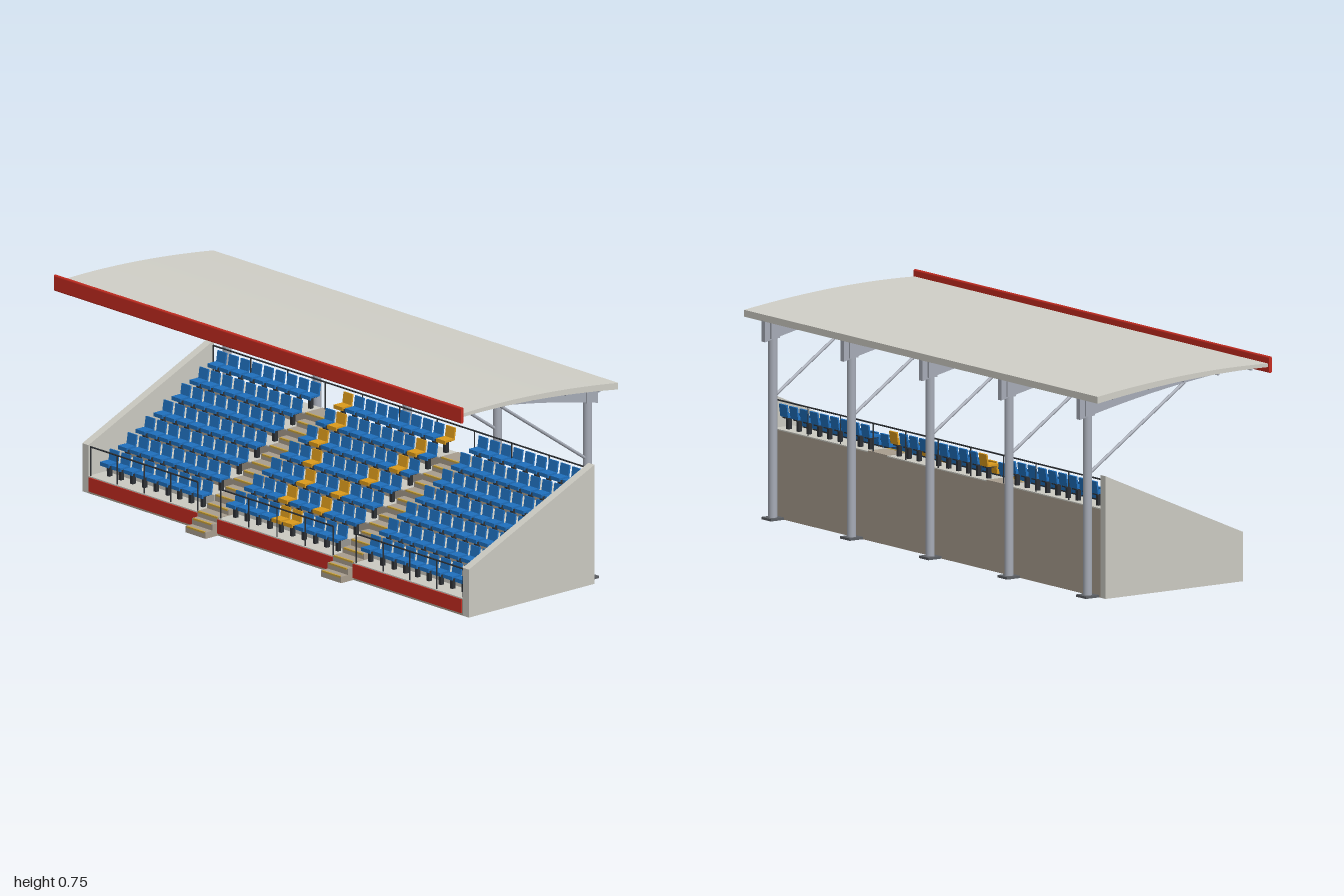
import * as THREE from 'three';
import { mergeGeometries } from 'three/addons/utils/BufferGeometryUtils.js';

const mat = (name, color) => {
  const m = new THREE.MeshStandardMaterial({ color });
  m.name = name;
  return m;
};

// Box given by its min and max along each axis
const box = (x0, x1, y0, y1, z0, z1) =>
  new THREE.BoxGeometry(x1 - x0, y1 - y0, z1 - z0).translate((x0 + x1) / 2, (y0 + y1) / 2, (z0 + z1) / 2);

// Round bar between two points
const bar = (a, b, r, sides = 8) => {
  const p = new THREE.Vector3(...a), q = new THREE.Vector3(...b), d = q.clone().sub(p);
  const turn = new THREE.Quaternion().setFromUnitVectors(new THREE.Vector3(0, 1, 0), d.clone().normalize());
  const mid = p.add(q).multiplyScalar(0.5);
  return new THREE.CylinderGeometry(r, r, d.length(), sides).applyQuaternion(turn).translate(mid.x, mid.y, mid.z);
};

// Extrude a [z, y] outline along x, between x0 and x1
const extrudeX = (outline, x0, x1) => {
  const shape = new THREE.Shape(outline.map(([z, y]) => new THREE.Vector2(-z, y)));
  return new THREE.ExtrudeGeometry(shape, { depth: x1 - x0, bevelEnabled: false })
    .rotateY(Math.PI / 2).translate(x0, 0, 0);
};

// Seat shell: flat pan with a front lip and a back leaning slightly rearwards
const seatShell = (x, y, z) => [
  box(x - 0.0215, x + 0.0215, y + 0.042, y + 0.049, z + 0.01, z + 0.052),
  box(x - 0.0215, x + 0.0215, y + 0.036, y + 0.049, z + 0.048, z + 0.053),
  new THREE.BoxGeometry(0.043, 0.042, 0.006).rotateX(-0.15).translate(x, y + 0.064, z + 0.009),
];

const ROWS = 7, RISE = 0.04, DEPTH = 0.08, FRONT = 0.27, BASE = 0.06, BACK = FRONT - ROWS * DEPTH;
const HALF = 0.92, AISLE = 0.333, AISLE_HALF = 0.053;
const treadY = (i) => BASE + i * RISE;
const treadZ = (i) => FRONT - i * DEPTH;

export function createModel() {
  const concrete = mat('concrete', 0xcac9c1);
  const roofSheet = mat('roofSheet', 0xd0cfc7);
  const stone = mat('stone', 0xa89d8e);
  const steel = mat('steel', 0xa6abb6);
  const red = mat('red', 0xc42b20);
  const blue = mat('seatBlue', 0x1f6fbd);
  const gold = mat('seatGold', 0xdb9a1c);
  const dark = mat('darkMetal', 0x2d3034);
  const plate = mat('plateGrey', 0x5c5f64);
  const nosing = mat('nosing', 0xc9a23c);

  const model = new THREE.Group();
  const add = (name, geos, material) => {
    const parts = geos.map((g) => (g.index ? g.toNonIndexed() : g));
    const mesh = new THREE.Mesh(mergeGeometries(parts), material);
    mesh.name = name;
    model.add(mesh);
  };

  // Stepped terrace body
  const steps = [[BACK, 0], [FRONT, 0]];
  for (let i = 0; i < ROWS; i++) {
    steps.push([treadZ(i), treadY(i) - 0.004], [treadZ(i + 1), treadY(i) - 0.004]);
  }
  add('terrace', [extrudeX(steps, -HALF, HALF)], stone);

  // Seating treads, split by the two aisles
  const blocks = [[-HALF, -AISLE - AISLE_HALF], [-AISLE + AISLE_HALF, AISLE - AISLE_HALF], [AISLE + AISLE_HALF, HALF]];
  const treads = [];
  for (const [x0, x1] of blocks) {
    for (let i = 0; i < ROWS; i++) {
      treads.push(box(x0, x1, treadY(i) - 0.004, treadY(i), treadZ(i + 1), treadZ(i)));
    }
    treads.push(box(x0, x1, BASE, treadY(1), treadZ(1), treadZ(1) + 0.002));
  }
  add('treads', treads, concrete);

  // Aisle steps with bright nosings, and the two entry steps at the front
  const stairs = [], edges = [];
  for (const cx of [-AISLE, AISLE]) {
    const x0 = cx - AISLE_HALF, x1 = cx + AISLE_HALF;
    const step = (y0, y1, z0, z1, inset = 0) => {
      stairs.push(box(x0 + inset, x1 - inset, y0, y1, z0, z1));
      edges.push(box(x0 + inset + 0.006, x1 - inset - 0.006, y1 - 0.005, y1 + 0.001, z1 - 0.006, z1 + 0.001));
    };
    for (let i = 0; i < ROWS; i++) {
      step(treadY(i) - 0.03, treadY(i) + 0.002, treadZ(i + 1), treadZ(i));
      if (i < ROWS - 1) step(treadY(i), treadY(i) + RISE / 2, treadZ(i + 1), treadZ(i + 1) + 0.036);
    }
    step(0, 0.022, FRONT, 0.325, 0.003);
    step(0, 0.043, FRONT, 0.295, 0.003);
  }
  add('aisleSteps', stairs, stone);
  add('stepNosings', edges, nosing);

  // Sloping side walls and the red front panel
  const wall = [[BACK, 0], [FRONT, 0], [FRONT, 0.166], [BACK, 0.412]];
  add('sideWalls', [extrudeX(wall, -0.95, -HALF), extrudeX(wall, HALF, 0.95)], concrete);
  const panels = [[-0.915, -AISLE - 0.05], [-AISLE + 0.05, AISLE - 0.05], [AISLE + 0.05, 0.915]];
  add('frontPanel', panels.map(([a, b]) => box(a, b, 0.008, 0.056, FRONT, FRONT + 0.004)), red);

  // Seats on short legs; a gold V runs through the middle block
  const blueSeats = [], goldSeats = [], legs = [];
  const vColumn = [4, 3, 3, 2, 1, 1, 0];
  const seat = (x, row, shells) => {
    const y = treadY(row), z = treadZ(row + 1);
    shells.push(...seatShell(x, y, z));
    legs.push(box(x - 0.006, x + 0.006, y, y + 0.041, z + 0.022, z + 0.036));
    legs.push(box(x - 0.012, x + 0.012, y + 0.037, y + 0.042, z + 0.012, z + 0.048));
  };
  for (let row = 0; row < ROWS; row++) {
    for (let c = 0; c < 10; c++) {
      const inV = c === vColumn[row] || c === 9 - vColumn[row];
      seat((c - 4.5) * 0.056, row, inV ? goldSeats : blueSeats);
    }
    for (let c = 0; c < 9; c++) {
      for (const s of [-1, 1]) seat(s * (0.412 + c * 0.0575), row, blueSeats);
    }
  }
  add('blueSeats', blueSeats, blue);
  add('goldSeats', goldSeats, gold);
  add('seatLegs', legs, dark);

  // Back guard rail and front rails
  const rails = [];
  const rail = (x0, x1, y, h, z, bays) => {
    rails.push(bar([x0, y + h, z], [x1, y + h, z], 0.0028, 6));
    for (let i = 0; i <= bays; i++) {
      const x = x0 + ((x1 - x0) * i) / bays;
      rails.push(bar([x, y, z], [x, y + h, z], 0.0025, 6));
    }
  };
  rail(-HALF + 0.003, HALF - 0.003, treadY(6), 0.096, BACK + 0.006, 10);
  for (const [x0, x1] of blocks) rail(x0 + 0.004, x1 - 0.004, BASE, 0.1, FRONT - 0.006, 4);
  add('guardRails', rails, dark);

  // Curved roof sheet with a round-edged fascia
  const top = new THREE.QuadraticBezierCurve(
    new THREE.Vector2(0.345, 0.73), new THREE.Vector2(0.02, 0.743), new THREE.Vector2(-0.355, 0.692)).getPoints(20);
  const underside = top.map((p, i) => [p.x, p.y - 0.012 - 0.011 * (i / 20)]);
  const roof = [...underside, ...top.map((p) => [p.x, p.y]).reverse()];
  add('roof', [extrudeX(roof, -0.995, 0.995)], roofSheet);
  add('roofFascia', [
    box(-1, 1, 0.704, 0.748, 0.34, 0.352),
    ...[0.704, 0.748].map((y) => bar([-1, y, 0.346], [1, y, 0.346], 0.006, 12)),
  ], red);

  // Purlins under the sheet
  add('purlins', [2, 6, 10, 14, 18].map((i) => {
    const [z, y] = underside[i];
    return box(-0.985, 0.985, y - 0.007, y + 0.003, z - 0.004, z + 0.004);
  }), steel);

  // Tapered roof beams, columns, braces and foot plates
  const lower = new THREE.QuadraticBezierCurve(
    new THREE.Vector2(-0.355, 0.6), new THREE.Vector2(-0.01, 0.682), new THREE.Vector2(0.34, 0.708)).getPoints(12);
  const beam = [...underside.map(([z, y]) => [z, y + 0.002]), ...lower.map((p) => [p.x, p.y])];
  const beams = [], columns = [], braces = [], feet = [];
  for (let i = -2; i <= 2; i++) {
    const x = i * 0.443;
    beams.push(extrudeX(beam, x - 0.01, x + 0.01));
    beams.push(box(x - 0.017, x + 0.017, 0.61, 0.672, -0.335, -0.3));
    columns.push(bar([x, 0.004, -0.317], [x, 0.67, -0.317], 0.015, 20));
    braces.push(bar([x, 0.415, -0.31], [x, 0.68, 0.078], 0.0055, 10));
    feet.push(box(x - 0.027, x + 0.027, 0, 0.008, -0.344, -0.2905));
  }
  add('roofBeams', beams, steel);
  add('columns', columns, steel);
  add('braces', braces, steel);
  add('footPlates', feet, plate);

  return model;
}
